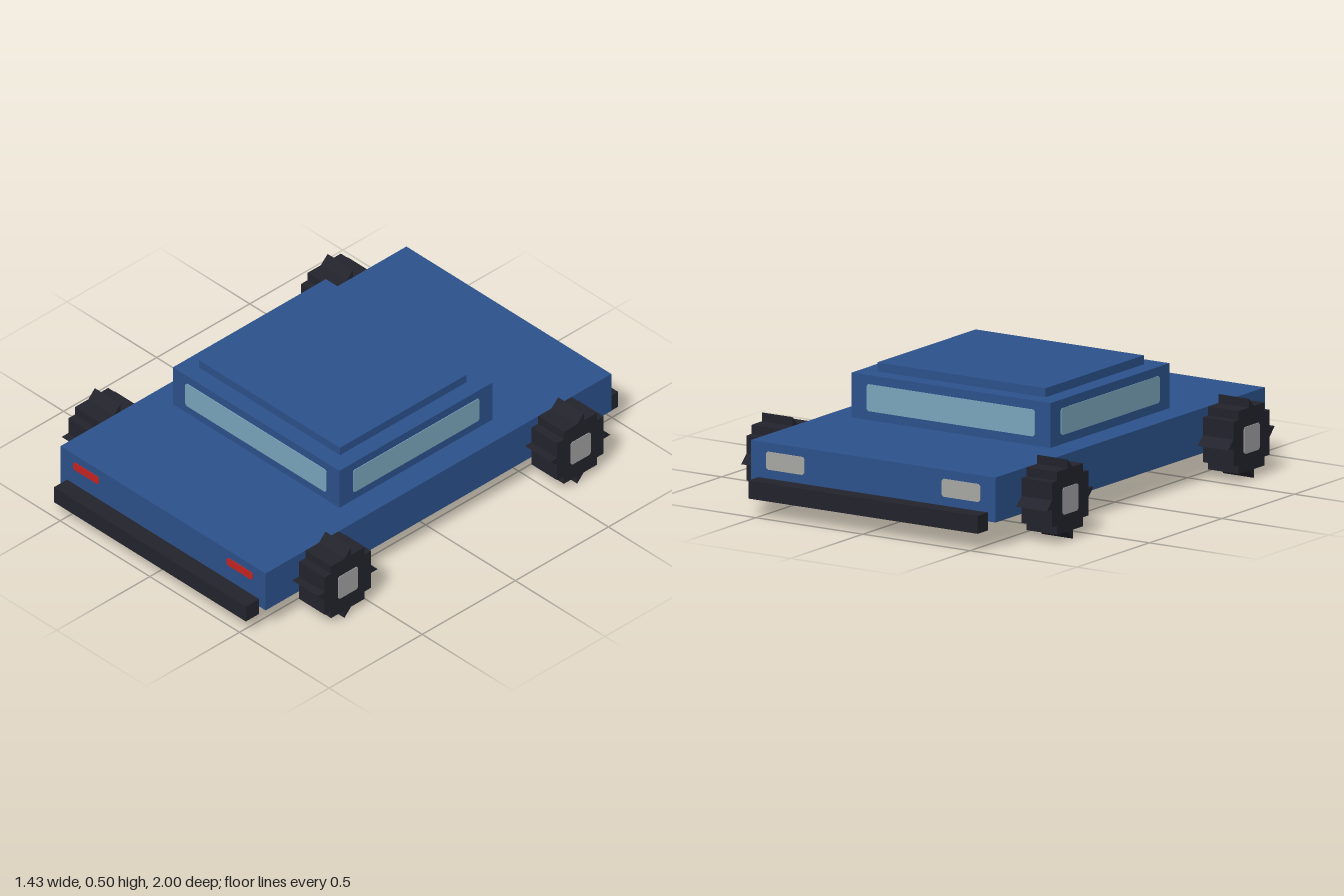
import * as THREE from 'three';

const U = 1 / 28; // block size: the whole car sits on this grid
const material = (name, color) => Object.assign(new THREE.MeshStandardMaterial({ color }), { name });

export function createModel() {
  const paint = material('blue paint', 0x2c528c);
  const rubber = material('black rubber', 0x23232d);
  const glass = material('pale blue glass', 0x7ba6bd);
  const red = material('red lamp', 0xc62420);
  const silver = material('silver hub', 0xa1a1a3);
  const lampGrey = material('grey lamp', 0xa8a8a4);

  const car = new THREE.Group();
  car.name = 'car';

  const add = (name, geometry, mat) => {
    const mesh = new THREE.Mesh(geometry, mat);
    mesh.name = name;
    car.add(mesh);
    return mesh;
  };

  // Box from its limits in blocks
  const block = (name, mat, x0, x1, y0, y1, z0, z1) => {
    const g = new THREE.BoxGeometry((x1 - x0) * U, (y1 - y0) * U, (z1 - z0) * U);
    g.translate((x0 + x1) / 2 * U, (y0 + y1) / 2 * U, (z0 + z1) / 2 * U);
    return add(name, g, mat);
  };

  // Thin plate with clipped corners, centred at (x, y, z) and turned about y
  const plate = (name, mat, w, h, x, y, z, turn) => {
    const a = w / 2 * U, b = h / 2 * U, c = 0.008;
    const shape = new THREE.Shape([
      [-a + c, -b], [a - c, -b], [a, -b + c], [a, b - c],
      [a - c, b], [-a + c, b], [-a, b - c], [-a, -b + c],
    ].map(([px, py]) => new THREE.Vector2(px, py)));
    const g = new THREE.ExtrudeGeometry(shape, { depth: 0.003, bevelEnabled: false });
    const mesh = add(name, g, mat);
    mesh.position.set(x * U, y * U, z * U);
    mesh.rotation.y = turn;
  };

  // Bodywork
  block('body', paint, -16, 16, 3, 8, -26, 26);
  block('cabin', paint, -13, 13, 8, 13, -11, 12);
  block('roof', paint, -11, 11, 13, 14, -9, 10);
  block('frontBumper', rubber, -15, 15, 2, 4, 26, 28);
  block('rearBumper', rubber, -15, 15, 2, 4, -28, -26);

  // Windscreens
  plate('frontWindow', glass, 22, 3, 0, 10.5, 12, 0);
  plate('rearWindow', glass, 22, 3, 0, 10.5, -11, Math.PI);

  // Stepped tyre outline: one quarter, turned four times
  const quarter = [[0.5, 4.5], [0.5, 3.5], [2.5, 3.5], [2.5, 2.5], [3.5, 2.5], [3.5, 0.5]];
  const outline = [];
  for (let i = 0; i < 4; i++) {
    for (const [px, py] of quarter) {
      outline.push(new THREE.Vector2(px * U, py * U).rotateAround(new THREE.Vector2(), -i * Math.PI / 2));
    }
  }
  const tyre = new THREE.ExtrudeGeometry(new THREE.Shape(outline), { depth: 4 * U, bevelEnabled: false });
  tyre.translate(0, 0, -2 * U);
  tyre.rotateY(Math.PI / 2);

  // Mirrored parts
  for (const s of [1, -1]) {
    const side = s > 0 ? 'left' : 'right';
    const turn = s * Math.PI / 2;
    plate(side + 'Window', glass, 19, 3, s * 13, 10.5, 0.5, turn);
    plate(side + 'FrontLamp', red, 4, 1, s * 12, 6.5, 26, 0);
    plate(side + 'RearLamp', lampGrey, 5, 2, s * 11.5, 6, -26, Math.PI);
    for (const e of [1, -1]) {
      const end = e > 0 ? 'Front' : 'Rear';
      add(side + end + 'Tyre', tyre, rubber).position.set(s * 18 * U, 4.5 * U, e * 17.5 * U);
      plate(side + end + 'Hub', silver, 3, 3, s * 20, 4.5, e * 17.5, turn);
    }
  }
  return car;
}
